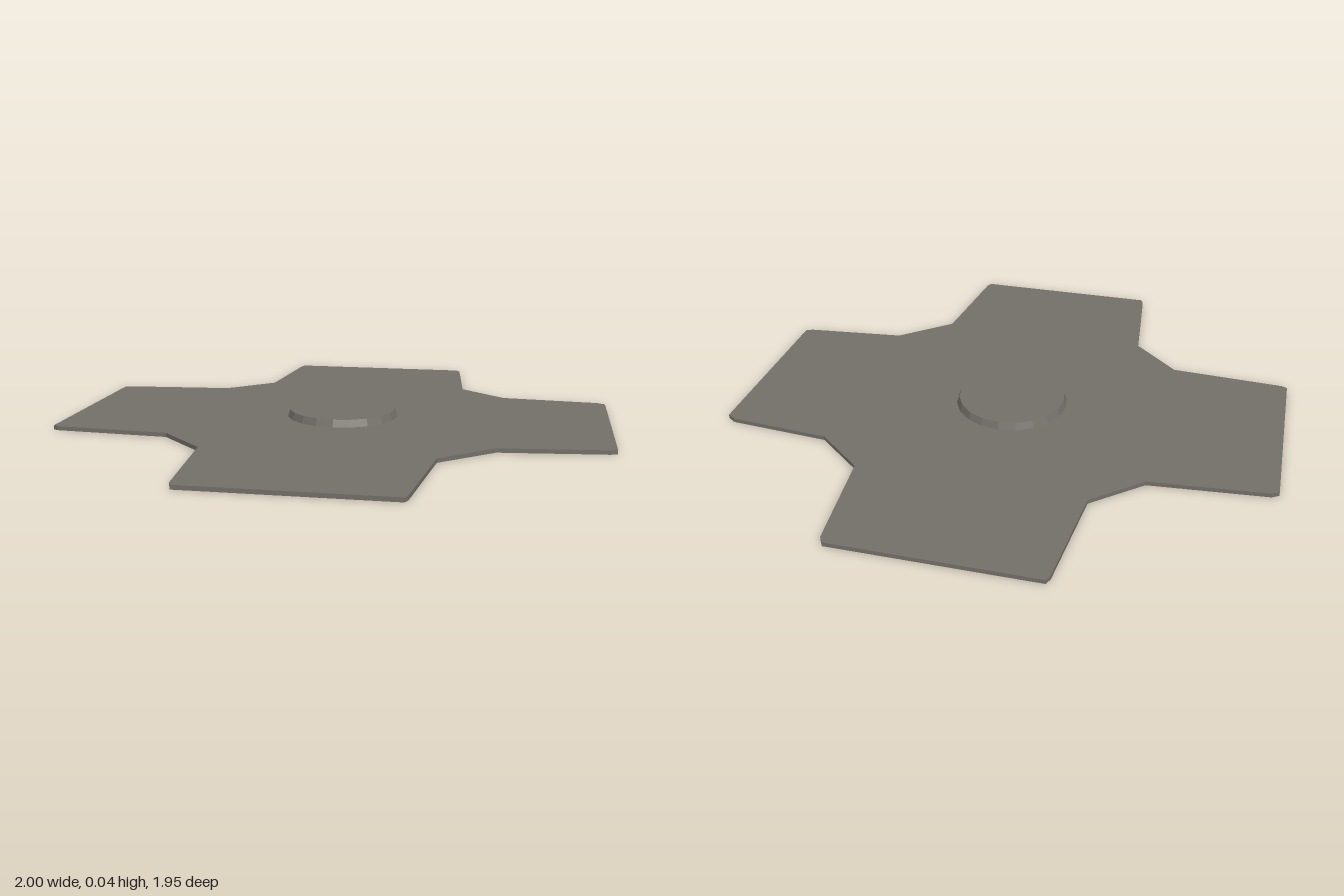
import * as THREE from 'three';

const PLATE_TOP = 0.015, HUB_TOP = 0.042;

// Plate outline as [x, z], running round from the back arm
const OUTLINE = [
  [-0.345, -0.975], [-0.355, -0.95], [-0.39, -0.555], [-0.56, -0.405],
  [-0.975, -0.37], [-1, -0.355], [-1, 0.345], [-0.98, 0.355],
  [-0.56, 0.38], [-0.39, 0.545], [-0.35, 0.95], [-0.34, 0.975],
  [0.36, 0.975], [0.37, 0.955], [0.415, 0.545], [0.6, 0.385],
  [0.975, 0.345], [1, 0.335], [1, -0.365], [0.97, -0.385],
  [0.6, -0.415], [0.425, -0.56], [0.385, -0.95], [0.37, -0.975],
];
// Small wedge-shaped opening under the hub
const WEDGE = [[0.015, -0.015], [-0.088, -0.182], [-0.166, -0.095]];

const toPoints = (list) => list.map(([x, z]) => new THREE.Vector2(x, -z));

export function createModel() {
  const model = new THREE.Group();
  const grey = new THREE.MeshStandardMaterial({ color: 0x74706a, flatShading: true, side: THREE.DoubleSide });
  grey.name = 'warm grey';

  const add = (name, geometry) => {
    const mesh = new THREE.Mesh(geometry, grey);
    mesh.name = name;
    model.add(mesh);
    return mesh;
  };

  // Thin cross-shaped plate
  const shape = new THREE.Shape(toPoints(OUTLINE));
  shape.holes.push(new THREE.Path(toPoints(WEDGE)));
  const plate = new THREE.ExtrudeGeometry(shape, { depth: PLATE_TOP, bevelEnabled: false });
  plate.rotateX(-Math.PI / 2);
  add('crossPlate', plate);

  // Raised round hub with slightly tapered side, open underneath
  const hub = new THREE.LatheGeometry([
    new THREE.Vector2(0.208, PLATE_TOP),
    new THREE.Vector2(0.199, HUB_TOP),
    new THREE.Vector2(0, HUB_TOP),
  ], 20);
  add('hub', hub).position.set(0.007, 0, -0.009);

  // Walls of the wedge opening, rising inside the hub
  const walls = [];
  WEDGE.forEach(([ax, az], i) => {
    const [bx, bz] = WEDGE[(i + 1) % WEDGE.length];
    const low = PLATE_TOP, high = HUB_TOP - 0.002;
    walls.push(ax, low, az, bx, low, bz, bx, high, bz, ax, low, az, bx, high, bz, ax, high, az);
  });
  const pocket = new THREE.BufferGeometry();
  pocket.setAttribute('position', new THREE.Float32BufferAttribute(walls, 3));
  pocket.computeVertexNormals();
  add('wedgePocket', pocket);

  return model;
}
